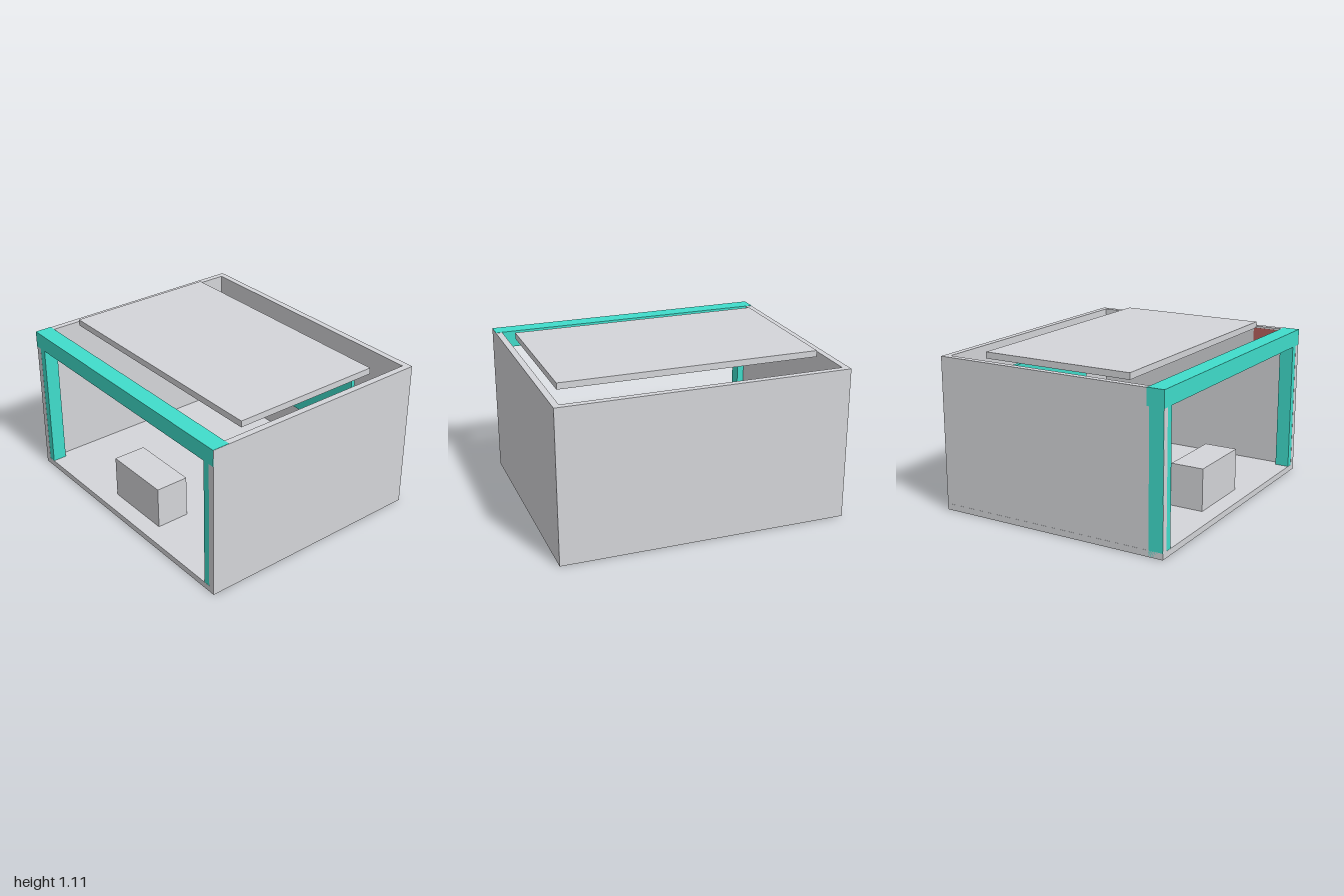
import * as THREE from 'three';

export function createModel() {
  const model = new THREE.Group();
  model.name = 'openBooth';

  const material = (name, color) => {
    const m = new THREE.MeshStandardMaterial({ color });
    m.name = name;
    return m;
  };
  const grey = material('lightGrey', 0xd4d5d9);
  const teal = material('teal', 0x40ddcb);
  const slate = material('slateBlue', 0x527884);
  const red = material('mutedRed', 0xb5605c);

  // Box given by its minimum and maximum on each axis
  const box = (name, mat, [x0, x1], [y0, y1], [z0, z1]) => {
    const mesh = new THREE.Mesh(new THREE.BoxGeometry(x1 - x0, y1 - y0, z1 - z0), mat);
    mesh.position.set((x0 + x1) / 2, (y0 + y1) / 2, (z0 + z1) / 2);
    mesh.name = name;
    model.add(mesh);
  };

  // Shell: floor, back wall and side walls
  box('floor', grey, [-1, 1], [0, 0.043], [-0.838, 0.836]);
  box('backWall', grey, [-0.955, 0.955], [0.043, 1.068], [-0.838, -0.793]);
  box('leftWall', grey, [0.955, 1], [0.043, 1.068], [-0.838, 0.836]);
  box('rightWall', grey, [-0.999, -0.955], [0.043, 1.068], [-0.838, 0.836]);

  // Front posts: the left sits inside the wall end, the right shows on the outside
  box('leftPost', teal, [0.905, 0.998], [0.003, 0.956], [0.735, 0.835]);
  box('rightPost', teal, [-1, -0.905], [0.003, 0.956], [0.735, 0.835]);

  // Small plate high on the inside of the left wall
  box('wallPlate', red, [0.953, 0.955], [0.9, 1.055], [0.5, 0.718]);

  // Beam across the open front
  box('frontBeam', teal, [-1, 0.999], [0.955, 1.07], [0.718, 0.838]);

  // Raised ceiling panel
  box('ceilingPanel', grey, [-0.9, 0.9], [1.068, 1.112], [-0.543, 0.543]);

  // Counter near the front
  box('counter', grey, [-0.25, 0.25], [0.043, 0.342], [0.478, 0.714]);

  // Display panel with its dark backing
  box('displayBacking', slate, [-0.543, 0.543], [0.367, 0.86], [-0.783, -0.76]);
  box('displayPanel', teal, [-0.565, 0.565], [0.348, 0.881], [-0.76, -0.731]);

  return model;
}
